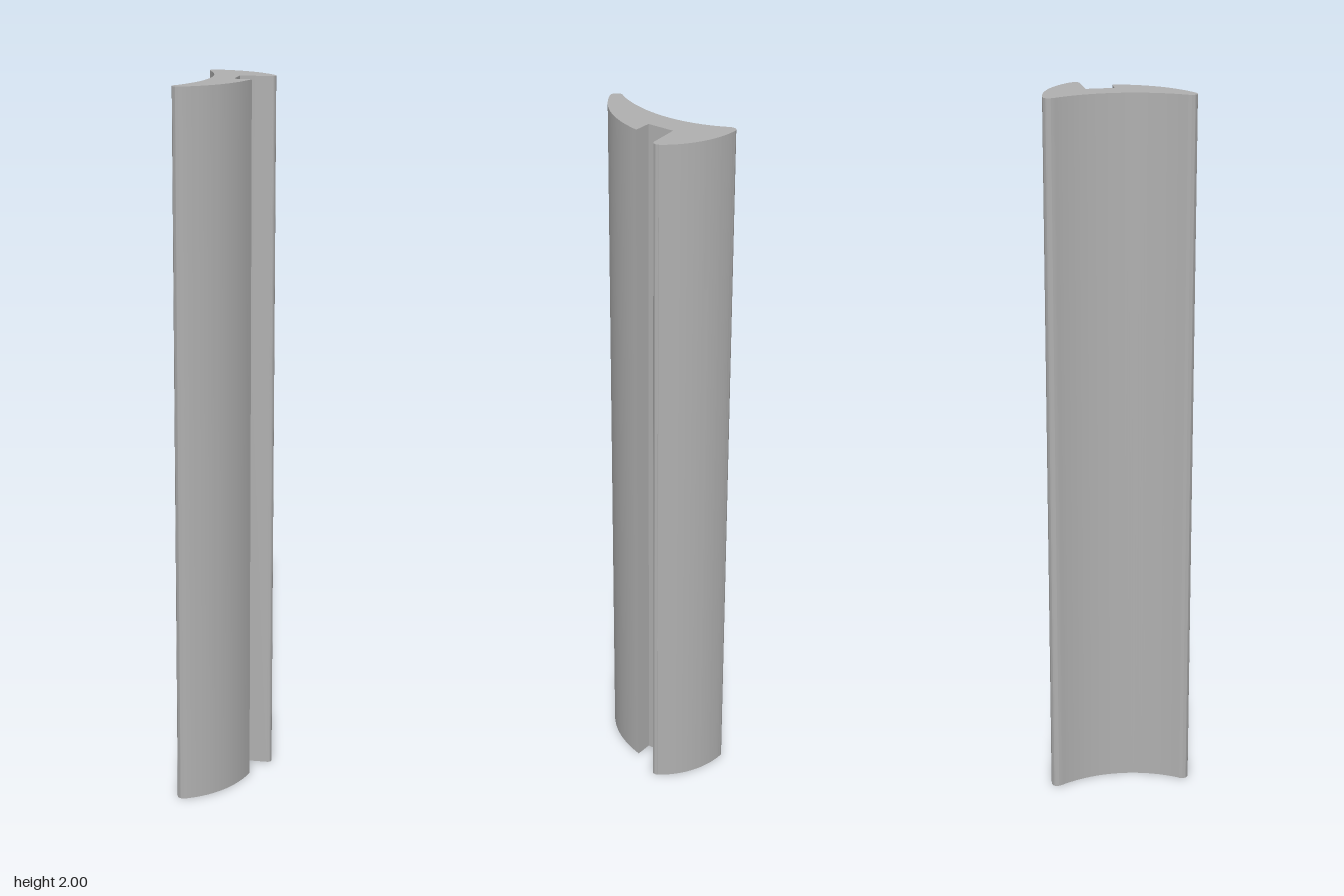
import * as THREE from 'three';
import { toCreasedNormals } from 'three/addons/utils/BufferGeometryUtils.js';

const rad = THREE.MathUtils.degToRad;

export function createModel() {
  const group = new THREE.Group();
  group.name = 'profileStrip';
  const grey = new THREE.MeshStandardMaterial({ color: 0xb0b0b0 });
  grey.name = 'plain grey';

  // Cross-section, counterclockwise; shape y becomes -z
  const s = new THREE.Shape();
  const arc = (x, y, r, a, b, clockwise = false) => s.absarc(x, y, r, rad(a), rad(b), clockwise);
  arc(-0.085, -0.035, 0.235, 38, 90);           // rear outer curve
  arc(-0.088, 0.185, 0.015, 90, 210);           // rear rounded tip
  arc(-0.398, 0, 0.345, 30.5, -29.8, true);     // concave side
  arc(-0.085, -0.18, 0.018, 150, 299);          // front rounded tip
  s.quadraticCurveTo(0.035, -0.135, 0.06, 0.005); // front outer curve
  s.lineTo(0.012, 0.005);                       // groove
  s.lineTo(0.008, 0.08);
  arc(0.09, 0.1, 0.0125, -85, 38);              // rounded lip beside the groove
  s.closePath();

  // Extrude upwards
  const extruded = new THREE.ExtrudeGeometry(s, { depth: 2, bevelEnabled: false, curveSegments: 24 });
  extruded.rotateX(-Math.PI / 2);
  const strip = new THREE.Mesh(toCreasedNormals(extruded, 0.5), grey);
  strip.name = 'strip';
  group.add(strip);
  return group;
}
